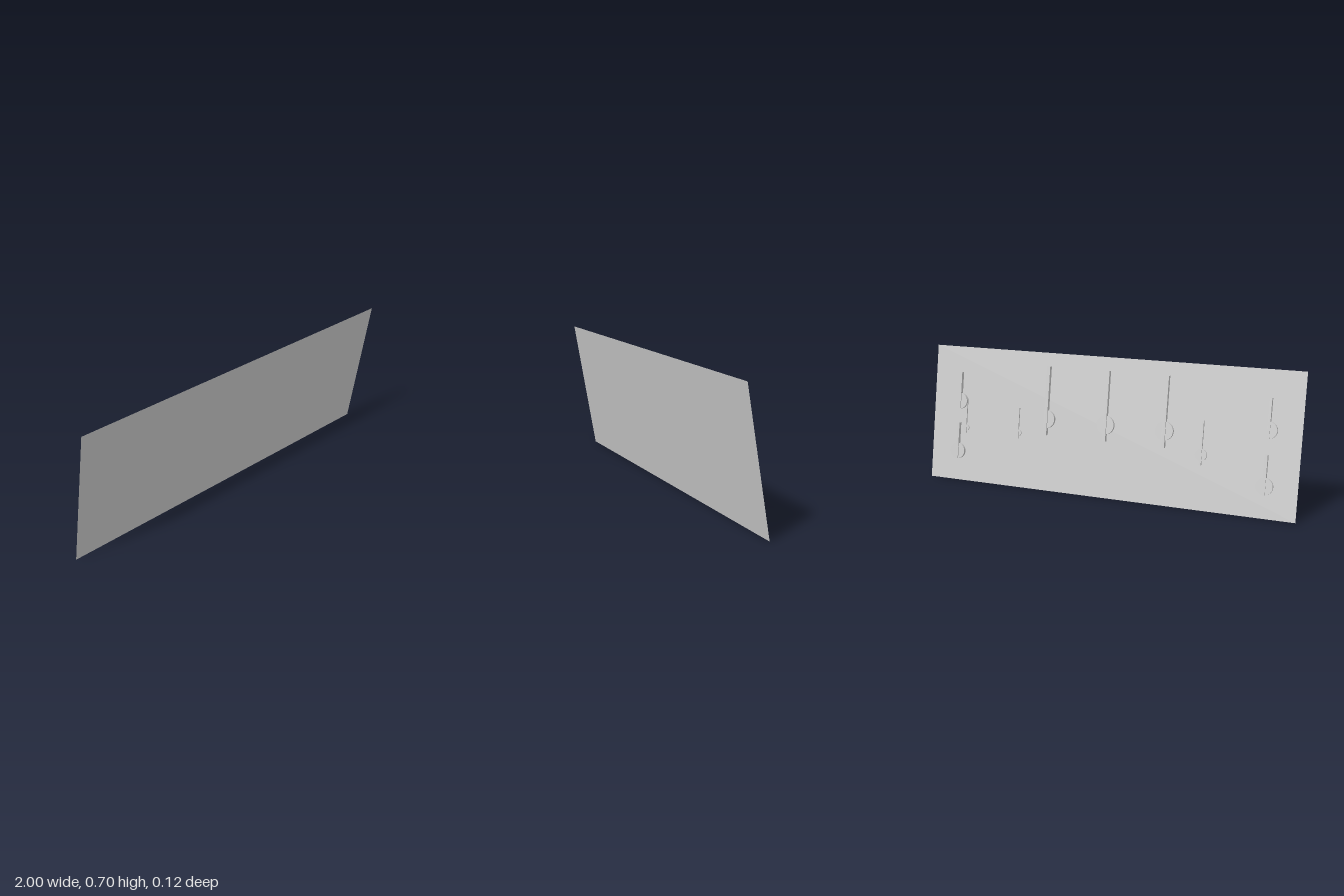
import * as THREE from 'three';

const TILT = THREE.MathUtils.degToRad(10);
const HEIGHT = 0.705;
const LENGTH = HEIGHT / Math.cos(TILT);
const GAP = 0.0005; // keeps the hidden faces off the panel

// x, bar top y, bar bottom y, bar width, bar depth, disc y, disc radius, disc depth
const HANGERS = [
  ...[-0.32, -0.005, 0.325].map(x => [x, 0.637, 0.286, 0.017, 0.02, 0.368, 0.047, 0.014]),
  ...[-0.84, 0.84].flatMap(x => [
    [x, 0.572, 0.38, 0.014, 0.019, 0.42, 0.042, 0.014],
    [x, 0.305, 0.114, 0.014, 0.019, 0.155, 0.042, 0.014],
  ]),
  [-0.515, 0.436, 0.221, 0.01, 0.012, 0.27, 0.03, 0.008],
  [0.487, 0.41, 0.252, 0.006, 0.008, 0.282, 0.018, 0.005],
  [0.8, 0.434, 0.25, 0.006, 0.008, 0.28, 0.018, 0.005],
];

export function createModel() {
  const model = new THREE.Group();
  model.name = 'leaningPanel';
  const grey = new THREE.MeshStandardMaterial({ color: 0xcccccc });
  const thinGrey = new THREE.MeshStandardMaterial({ color: 0xcccccc, side: THREE.DoubleSide });

  // Everything is laid out on an upright panel, then leaned forward
  const lean = new THREE.Group();
  lean.name = 'lean';
  lean.rotation.x = TILT;
  lean.position.z = -LENGTH * Math.sin(TILT) / 2;
  model.add(lean);

  const add = (parent, name, geometry, material, x, y, z) => {
    const mesh = new THREE.Mesh(geometry, material);
    mesh.name = name;
    mesh.position.set(x, y, z);
    parent.add(mesh);
    return mesh;
  };

  // Flat panel
  add(lean, 'panel', new THREE.PlaneGeometry(2, LENGTH), thinGrey, 0, LENGTH / 2, 0);

  // Bars crossing round discs on the back of the panel
  const along = y => y / Math.cos(TILT);
  for (const [x, top, bottom, width, depth, discY, radius, discDepth] of HANGERS) {
    const hanger = new THREE.Group();
    hanger.name = 'hanger';
    hanger.position.set(x, 0, -GAP);
    lean.add(hanger);
    const bar = new THREE.BoxGeometry(width, along(top - bottom), depth);
    add(hanger, 'bar', bar, grey, 0, along((top + bottom) / 2), -depth / 2);
    const disc = new THREE.CylinderGeometry(radius, radius, discDepth, 32).rotateX(Math.PI / 2);
    add(hanger, 'disc', disc, grey, 0, along(discY), -discDepth / 2);
  }
  return model;
}
